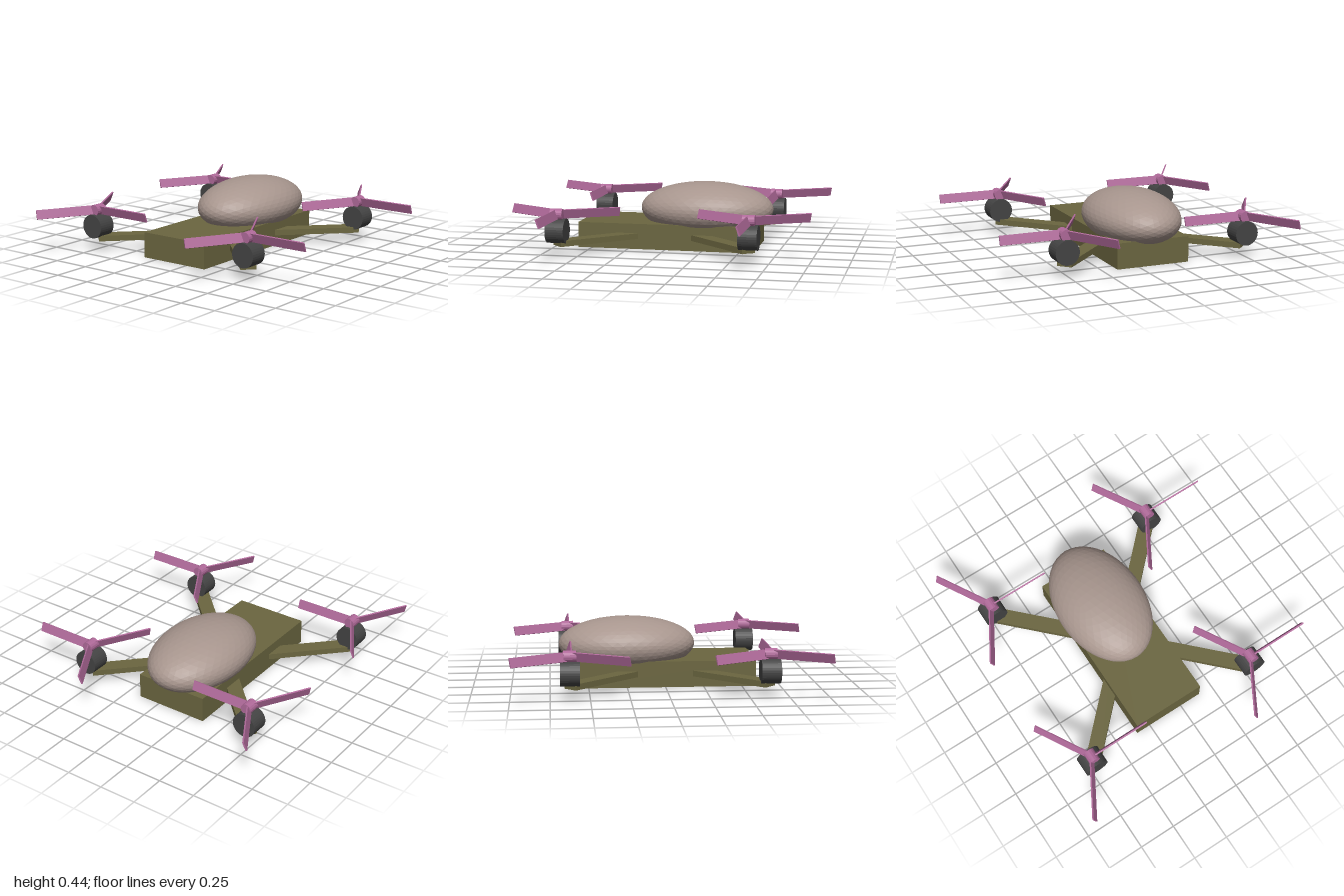
import * as THREE from 'three';

const mat = (color) => new THREE.MeshStandardMaterial({ color, flatShading: true });

function part(name, geometry, material, parent, x = 0, y = 0, z = 0) {
  const mesh = new THREE.Mesh(geometry, material);
  mesh.name = name;
  mesh.position.set(x, y, z);
  parent.add(mesh);
  return mesh;
}

export function createModel() {
  const olive = mat(0x6b6640), taupe = mat(0xa8968e), dark = mat(0x444444), pink = mat(0xb06a9a);
  const model = new THREE.Group();
  model.name = 'quadcopter';
  const frame = new THREE.Group();
  frame.name = 'frame';
  frame.position.x = -0.1;
  model.add(frame);

  // Body slab and canopy ellipsoid
  part('body', new THREE.BoxGeometry(0.5, 0.17, 1.184), olive, frame, 0, 0.085, 0);
  const canopy = new THREE.IcosahedronGeometry(1, 7).scale(0.3, 0.18, 0.45);
  part('canopy', canopy, taupe, frame, 0, 0.255, -0.24);

  // Shared geometry; motor and hub cylinders lie along z
  const reach = 0.626;
  const armLength = reach * Math.SQRT2;
  const armGeo = new THREE.BoxGeometry(armLength, 0.038, 0.1).translate(armLength / 2, 0, 0);
  const motorGeo = new THREE.CylinderGeometry(0.08, 0.08, 0.123, 32).rotateX(Math.PI / 2);
  const hubGeo = new THREE.CylinderGeometry(0.037, 0.037, 0.08, 16).rotateX(Math.PI / 2);
  // Blade pitched about its own length
  const bladeGeo = new THREE.BoxGeometry(0.42, 0.062, 0.01)
    .rotateX(THREE.MathUtils.degToRad(20))
    .translate(0.21, 0, 0);

  for (const sx of [-1, 1]) {
    for (const sz of [-1, 1]) {
      const arm = part('arm', armGeo, olive, frame, 0, 0.088, 0);
      arm.rotation.y = Math.atan2(-sz, sx);
      part('motor', motorGeo, dark, frame, sx * reach, 0.17, sz * reach);

      // Three-bladed propeller
      const propeller = new THREE.Group();
      propeller.name = 'propeller';
      propeller.position.set(sx * reach, 0.277, sz * reach);
      frame.add(propeller);
      part('hub', hubGeo, pink, propeller);
      for (let i = 0; i < 3; i++) {
        part('blade', bladeGeo, pink, propeller).rotation.y = (i * Math.PI * 2) / 3;
      }
    }
  }
  return model;
}
